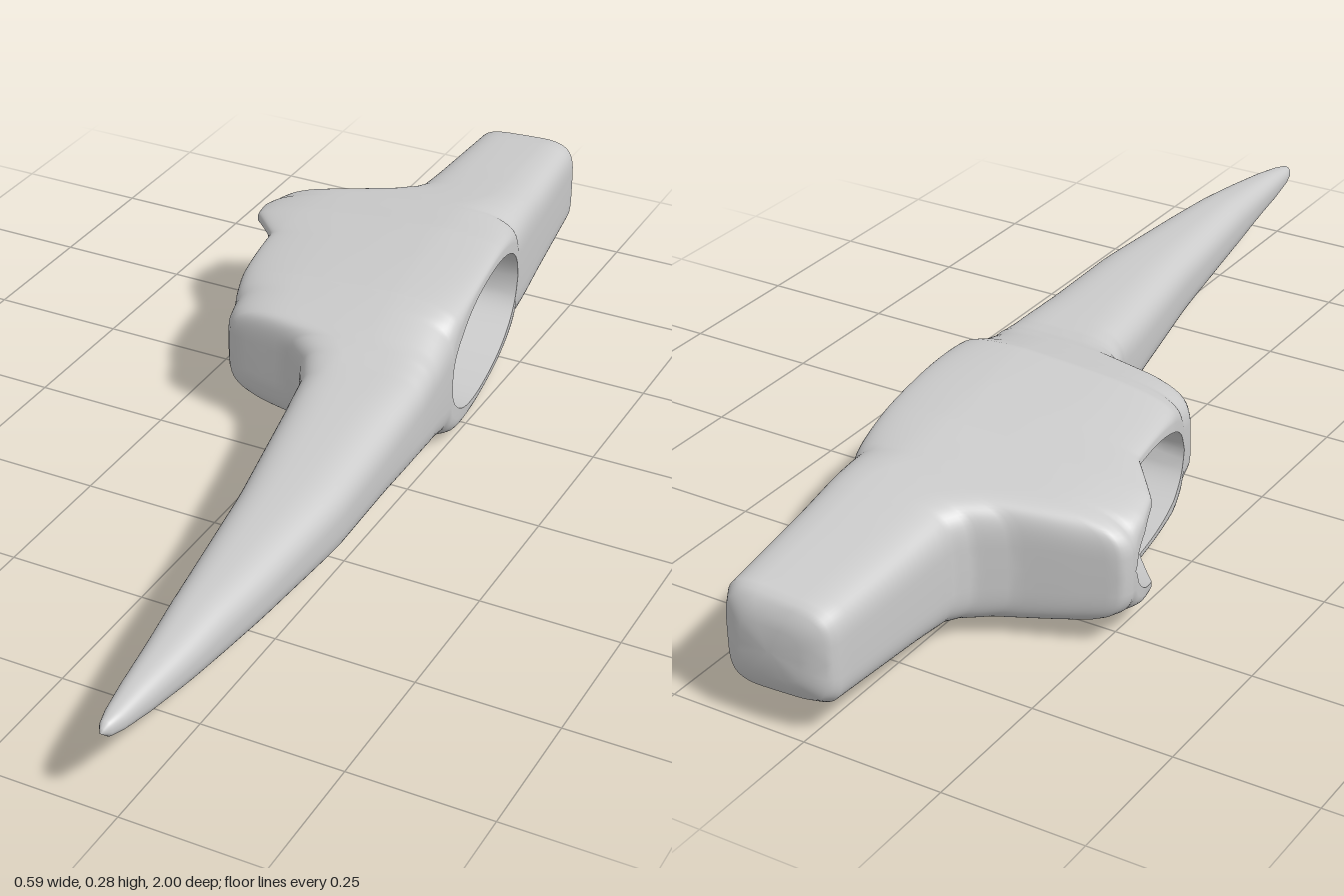
import * as THREE from 'three';
import { mergeVertices, mergeGeometries } from 'three/addons/utils/BufferGeometryUtils.js';

// Piecewise-linear lookup through [position, value] pairs
function lookup(table, t) {
  if (t <= table[0][0]) return table[0][1];
  for (let k = 1; k < table.length; k++) {
    const [t0, v0] = table[k - 1], [t1, v1] = table[k];
    if (t <= t1) return v0 + (v1 - v0) * (t - t0) / (t1 - t0);
  }
  return table[table.length - 1][1];
}

// Outline of the head along z: right edge, left edge, half height, centre height, squareness
const EDGE_POS = [[-1, 0.06], [-0.998, 0.11], [-0.985, 0.145], [-0.965, 0.157], [-0.6, 0.203], [-0.2, 0.26],
  [0, 0.277], [0.35, 0.295], [0.6, 0.285], [0.8, 0.27], [0.95, 0.25], [0.985, 0.238], [1, 0.226]];
const EDGE_NEG = [[-1, 0.05], [-0.998, 0], [-0.985, -0.04], [-0.965, -0.052], [-0.67, -0.056], [-0.64, -0.075],
  [-0.605, -0.13], [-0.578, -0.21], [-0.55, -0.29], [-0.53, -0.3], [-0.48, -0.293], [-0.43, -0.277], [-0.35, -0.207],
  [-0.2, -0.185], [-0.1, -0.162], [-0.08, -0.148], [-0.068, -0.09], [-0.055, -0.02], [-0.02, 0.025],
  [0.04, 0.054], [0.4, 0.125], [0.8, 0.185], [0.95, 0.205], [0.985, 0.215], [1, 0.224]];
const HALF_HEIGHT = [[-1, 0], [-0.998, 0.045], [-0.985, 0.08], [-0.965, 0.094], [-0.75, 0.108], [-0.55, 0.131],
  [-0.45, 0.138], [-0.18, 0.137], [-0.12, 0.118], [-0.04, 0.094], [0, 0.087], [0.35, 0.069], [0.7, 0.05],
  [0.93, 0.026], [0.985, 0.014], [1, 0]];
const CENTRE = [[-1, 0.144], [-0.5, 0.138], [0, 0.14], [0.7, 0.148], [1, 0.147]];
const SQUARENESS = [[-1, 4.5], [-0.12, 4.5], [0.15, 3.2], [1, 2.2]];
// The collar gets lower towards its open end
const TAPER = [[-0.3, 0.7], [-0.19, 0.81], [-0.06, 0.91], [0.1, 1]];

// Half height of the slightly skewed oval eye at a given x and z
function eye(x, z) {
  const f = THREE.MathUtils.clamp((x + 0.3) / 0.56, 0, 1);
  const t = Math.abs(z - (-0.325 - 0.04 * f)) / (0.185 + 0.03 * f);
  return t >= 1 ? 0 : (0.08 + 0.028 * f) * Math.pow(1 - Math.pow(t, 2.3), 1 / 2.3);
}

// Grid surface from rows of points, leaving out quads that keep() rejects
function gridGeometry(rows, flip, keep = () => true) {
  const w = rows[0].length, index = [];
  for (let j = 0; j < rows.length - 1; j++) {
    for (let i = 0; i < w - 1; i++) {
      const a = j * w + i, b = a + 1, c = a + w, d = c + 1;
      if (!keep(rows[j][i], rows[j][i + 1], rows[j + 1][i], rows[j + 1][i + 1])) continue;
      index.push(...(flip ? [a, d, b, a, c, d] : [a, b, d, a, d, c]));
    }
  }
  const g = new THREE.BufferGeometry();
  g.setAttribute('position', new THREE.Float32BufferAttribute(rows.flat().flatMap(p => [p.x, p.y, p.z]), 3));
  g.setIndex(index);
  return g;
}

// Section positions: close together around the eye and at both rounded ends
function sections() {
  const zs = [-1, -0.998, -0.992, -0.985, -0.975];
  for (let z = -0.965; z < -0.69; z += 0.03) zs.push(z);
  for (let z = -0.69; z < 0.05; z += 0.006) zs.push(z);
  for (let z = 0.06; z < 0.94; z += 0.04) zs.push(z);
  return [...zs, 0.96, 0.985, 0.994, 1];
}

// Outer half section: a rounded arch that springs from the edge of the eye
function archRow(z, side) {
  const x0 = lookup(EDGE_NEG, z), x1 = lookup(EDGE_POS, z);
  const power = 2 / lookup(SQUARENESS, z), steps = 32, row = [];
  for (let i = 0; i <= steps; i++) {
    const a = Math.PI * i / steps, c = Math.cos(a);
    const x = (x0 + x1) / 2 + (x1 - x0) / 2 * Math.sign(c) * Math.pow(Math.abs(c), power);
    const s = i % steps === 0 ? 0 : Math.pow(Math.sin(a), power);
    const h = eye(x, z), top = lookup(HALF_HEIGHT, z) * lookup(TAPER, x);
    const y = h + Math.max(top - h, h > 0 ? 0.008 : 0) * s;
    row.push(new THREE.Vector3(x, lookup(CENTRE, z) + side * y, z));
  }
  return row;
}

// Half of the eye wall at one section
function wallRow(z, side) {
  const x0 = lookup(EDGE_NEG, z), x1 = lookup(EDGE_POS, z), row = [];
  for (let i = 0; i <= 12; i++) {
    const x = x1 + (x0 - x1) * i / 12;
    row.push(new THREE.Vector3(x, lookup(CENTRE, z) + side * eye(x, z), z));
  }
  return row;
}

export function createModel() {
  const group = new THREE.Group();
  group.name = 'pickHammerHead';
  const material = new THREE.MeshStandardMaterial({ color: 0xcccccc });
  const zs = sections();
  const open = (...pts) => pts.some(p => eye(p.x, p.z) > 0);

  // Upper and lower halves are welded so shading runs across the joint
  const addPart = (name, build) => {
    const geometry = mergeVertices(mergeGeometries([1, -1].map(build)), 1e-5);
    geometry.computeVertexNormals();
    const mesh = new THREE.Mesh(geometry, material);
    mesh.name = name;
    group.add(mesh);
  };

  // Pick, collar and hammer poll in one continuous skin
  addPart('headBody', side => gridGeometry(zs.map(z => archRow(z, side)), side < 0));

  // Inside wall of the handle eye
  const eyeZs = zs.filter(z => z > -0.62 && z < -0.1);
  addPart('handleEye', side => gridGeometry(eyeZs.map(z => wallRow(z, side)), side > 0, open));

  return group;
}
